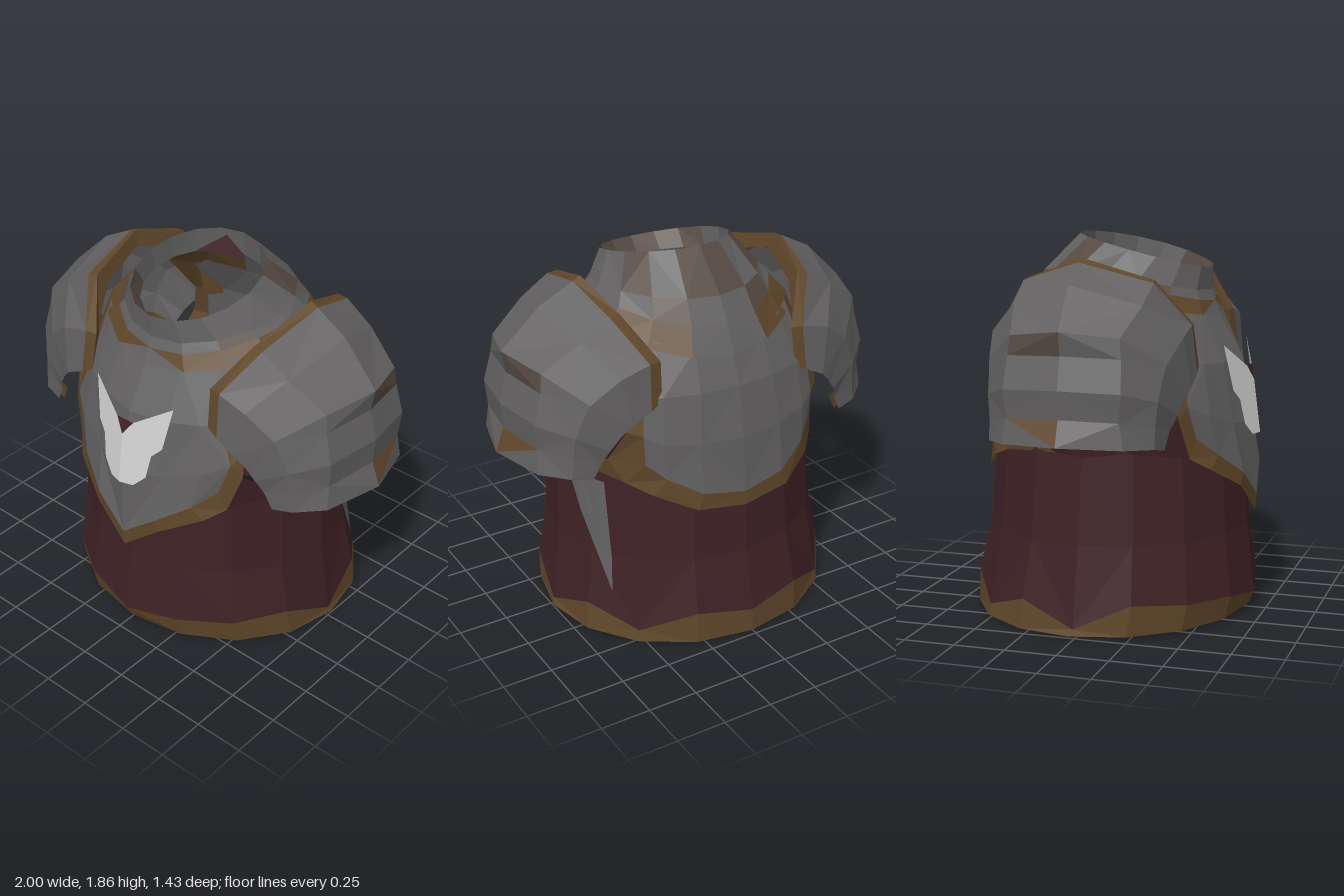
import * as THREE from 'three';

const flat = (name, color) => {
  const m = new THREE.MeshStandardMaterial({ color, side: THREE.DoubleSide });
  m.name = name;
  return m;
};

export function createModel() {
  const model = new THREE.Group();
  model.name = 'armour';
  const mats = [
    flat('steel grey', 0x626060), flat('dull gold', 0x60472a), flat('dark maroon', 0x3f2125),
    flat('silver', 0xd2d2d2), flat('grey brown', 0x564a42),
  ];
  const STEEL = 0, GOLD = 1, MAROON = 2, BROWN = 4;

  // Faceted mesh from triangles sorted into one list per colour
  function facets(name, lists) {
    const geo = new THREE.BufferGeometry(), pos = [], used = [];
    lists.forEach((list, i) => {
      if (!list.length) return;
      geo.addGroup(pos.length / 3, list.length, used.length);
      used.push(mats[i]);
      list.forEach(p => pos.push(...p));
    });
    geo.setAttribute('position', new THREE.Float32BufferAttribute(pos, 3));
    geo.computeVertexNormals();
    const mesh = new THREE.Mesh(geo, used);
    mesh.name = name;
    model.add(mesh);
  }

  // Skin over rows of points; pick(row, column, triangle) gives the colour of each facet
  function skin(name, rows, pick) {
    const lists = mats.map(() => []);
    for (let r = 0; r < rows.length - 1; r++) {
      for (let c = 0; c < rows[r].length - 1; c++) {
        const a = rows[r][c], b = rows[r][c + 1], d = rows[r + 1][c], e = rows[r + 1][c + 1];
        const pair = (r + c) % 2 ? [[a, b, e], [a, e, d]] : [[a, b, d], [b, e, d]];
        pair.forEach((tri, t) => lists[pick(r, c, t)].push(...tri));
      }
    }
    facets(name, lists);
  }

  // Closed ring of 16 sides, column 0 at the front, running towards +x
  const N = 16;
  const ring = (rx, zFront, zBack, y) => Array.from({ length: N + 1 }, (_, i) => {
    const a = (i % N) / N * Math.PI * 2, c = Math.cos(a);
    return [rx * Math.sin(a), y(c, i % N), (zFront + zBack) / 2 + (zFront - zBack) / 2 * c];
  });
  const tilt = (front, back, side) => c =>
    front + (back - front) * (1 - c) / 2 + (side - (front + back) / 2) * (1 - c * c);

  // Skirt with an uneven gold hem and a maroon lining
  const hem = [0.08, 0.13, 0.14, 0.16, 0.04, 0.15, 0.06, 0.16, 0.12];
  const skirtRows = k => [
    ring(0.75 - k, 0.66 - k, -0.72 + k, c => 0.008 + 0.008 * c),
    ring(0.74 - k, 0.69 - k, -0.715 + k, (c, i) => hem[i < 9 ? i : N - i]),
    ring(0.69 - k, 0.65 - k, -0.65 + k, () => 0.43),
    ring(0.665 - k, 0.62 - k, -0.6 + k, c => 0.84 + 0.18 * c * c),
  ];
  skin('skirt', skirtRows(0), r => r === 0 ? GOLD : MAROON);
  skin('skirtLining', skirtRows(0.012), () => MAROON);

  // Grey tapering patch lying on the left side of the skirt
  const onSkirt = (y, z) => {
    const d = 0.43 - y;
    const rx = 0.69 + d * (d > 0 ? 0.14 : 0.058), rz = 0.65 + d * (d > 0 ? 0.15 : 0.095);
    return [rx * Math.sqrt(1 - (z / rz) ** 2) + 0.004, y, z];
  };
  skin('skirtPatch', [0, 1 / 3, 2 / 3, 0.99].map(t => [0, 1 / 3, 2 / 3, 1].map(u =>
    onSkirt(0.81 - 0.57 * t, -0.08 - 0.3 * t - 0.22 * u * (1 - t)))), () => STEEL);

  // Collar with its inner lip, and the yoke over the shoulders
  skin('collar', [
    ring(0.305, 0.39, -0.21, tilt(1.62, 1.73, 1.68)),
    ring(0.31, 0.46, -0.2, tilt(1.69, 1.855, 1.785)),
    ring(0.41, 0.455, -0.38, tilt(1.58, 1.67, 1.67)),
    ring(0.45, 0.475, -0.45, tilt(1.53, 1.55, 1.63)),
    ring(0.54, 0.505, -0.515, tilt(1.46, 1.42, 1.55)),
  ], (r, c, t) => {
    const k = c < 8 ? c : 15 - c;
    if (r === 0) return k < 3 ? BROWN : STEEL;
    if (r === 3) return [1, 2, 3, 5, 6].includes(k) || (k === 0 && t === 0) ? GOLD : STEEL;
    if (r === 2) return k === 2 || k === 6 ? BROWN : STEEL;
    return k === 7 || k === 5 ? BROWN : STEEL;
  });
  // Maroon patch inside the neck
  facets('neckPatch', [[], [], [[-0.22, 1.72, -0.11], [-0.09, 1.82, -0.18], [0.02, 1.73, -0.195]], [], []]);

  // Breastplate and backplate, each given from the centre out to the +x side
  const mirrored = half => [...half.slice(1).reverse().map(([x, y, z]) => [-x, y, z]), ...half];
  const plateColour = (r, c) => r === 0 || c === 0 || c === 7 ? GOLD : STEEL;
  skin('breastplate', [
    [[0, 0.5, 0.69], [0.2, 0.66, 0.66], [0.4, 0.77, 0.56], [0.48, 0.83, 0.48], [0.64, 0.87, 0.22]],
    [[0, 0.58, 0.695], [0.18, 0.72, 0.67], [0.34, 0.83, 0.585], [0.44, 0.92, 0.5], [0.54, 1.02, 0.44]],
    [[0, 0.95, 0.685], [0.2, 0.96, 0.62], [0.38, 1.02, 0.55], [0.49, 1.08, 0.47], [0.535, 1.15, 0.42]],
    [[0, 1.25, 0.62], [0.2, 1.25, 0.57], [0.34, 1.26, 0.51], [0.42, 1.27, 0.45], [0.49, 1.27, 0.39]],
    [[0, 1.48, 0.49], [0.18, 1.5, 0.455], [0.34, 1.54, 0.355], [0.42, 1.55, 0.29], [0.49, 1.55, 0.2]],
  ].map(mirrored), (r, c, t) =>
    r === 0 && t === 0 && (c === 0 || c === 7) ? MAROON : plateColour(r, c));
  skin('backplate', [
    [[0, 0.68, -0.635], [0.25, 0.71, -0.61], [0.43, 0.79, -0.51], [0.53, 0.84, -0.4], [0.65, 0.86, -0.12]],
    [[0, 0.75, -0.63], [0.22, 0.79, -0.61], [0.38, 0.88, -0.54], [0.46, 0.95, -0.48], [0.58, 0.95, -0.33]],
    [[0, 1.03, -0.605], [0.22, 1.04, -0.58], [0.39, 1.06, -0.53], [0.47, 1.1, -0.48], [0.53, 1.12, -0.43]],
    [[0, 1.28, -0.555], [0.2, 1.28, -0.54], [0.37, 1.28, -0.49], [0.45, 1.28, -0.45], [0.5, 1.28, -0.41]],
    [[0, 1.45, -0.495], [0.18, 1.47, -0.46], [0.34, 1.51, -0.365], [0.42, 1.53, -0.3], [0.49, 1.53, -0.2]],
  ].map(mirrored), plateColour);

  // Shoulder guards: arches from the front edge to the crown, mirrored to the back
  const arches = [
    [[0.42, 1.27, 0.4], [0.43, 1.44, 0.37], [0.48, 1.6, 0.25], [0.52, 1.68, 0]],
    [[0.37, 1.26, 0.49], [0.36, 1.45, 0.46], [0.49, 1.66, 0.31], [0.54, 1.76, -0.03]],
    [[0.43, 1.23, 0.5], [0.42, 1.45, 0.47], [0.54, 1.65, 0.32], [0.58, 1.74, -0.03]],
    [[0.53, 1.18, 0.5], [0.57, 1.41, 0.47], [0.69, 1.56, 0.31], [0.75, 1.65, -0.02]],
    [[0.58, 1.13, 0.48], [0.71, 1.3, 0.43], [0.87, 1.43, 0.26], [0.945, 1.46, 0]],
    [[0.6, 1.1, 0.47], [0.74, 1.24, 0.42], [0.88, 1.34, 0.27], [0.925, 1.35, 0]],
    [[0.63, 1.06, 0.46], [0.78, 1.14, 0.41], [0.92, 1.19, 0.28], [0.965, 1.2, 0]],
    [[0.66, 0.99, 0.43], [0.79, 1.03, 0.4], [0.91, 1.06, 0.27], [0.955, 1.07, 0]],
    [[0.7, 0.91, 0.42], [0.8, 0.93, 0.4], [0.92, 0.94, 0.29], [1.0, 0.95, 0]],
  ];
  for (const [side, s] of [['left', 1], ['right', -1]]) {
    const rows = arches.map(h => [...h, ...h.slice(0, -1).reverse().map(([x, y, z]) => [x, y, -z * 0.98])]
      .map(([x, y, z]) => [s * x, y, z]));
    skin(side + 'ShoulderGuard', rows, (r, c, t) =>
      r < 2 || (r === 7 && c === 3 && t === 0) ? GOLD : r === 4 && c === 3 ? BROWN : STEEL);
    // Gold lining inside the lower edge
    skin(side + 'ShoulderLining', rows.slice(7).map(row =>
      row.map(([x, y, z]) => [x - s * 0.02, y + 0.004, z * 0.96])), () => GOLD);
  }

  // Winged chest ornament, a thin bent plate
  const bend = (x, y) => [x, y, 0.707 - 0.3 * Math.abs(x) - 0.13 * (y - 0.9)];
  const wing = [[0, 0.89], [0.07, 0.89], [0.13, 0.95], [0.15, 1.07], [0.2, 1.12], [0.24, 1.34], [0.05, 1.22], [0, 1.15]];
  const wingFaces = THREE.ShapeUtils.triangulateShape(wing.map(([x, y]) => new THREE.Vector2(x, y)), []);
  const silver = [];
  for (const s of [1, -1]) {
    for (const f of wingFaces) {
      const tri = f.map(i => bend(s * wing[i][0], wing[i][1]));
      silver.push(...(s > 0 ? tri : tri.reverse()));
    }
  }
  const notch = [bend(0, 1.15), bend(0.05, 1.22), bend(-0.05, 1.22)];
  facets('chestOrnament', [[], [], notch, silver, []]);

  return model;
}
